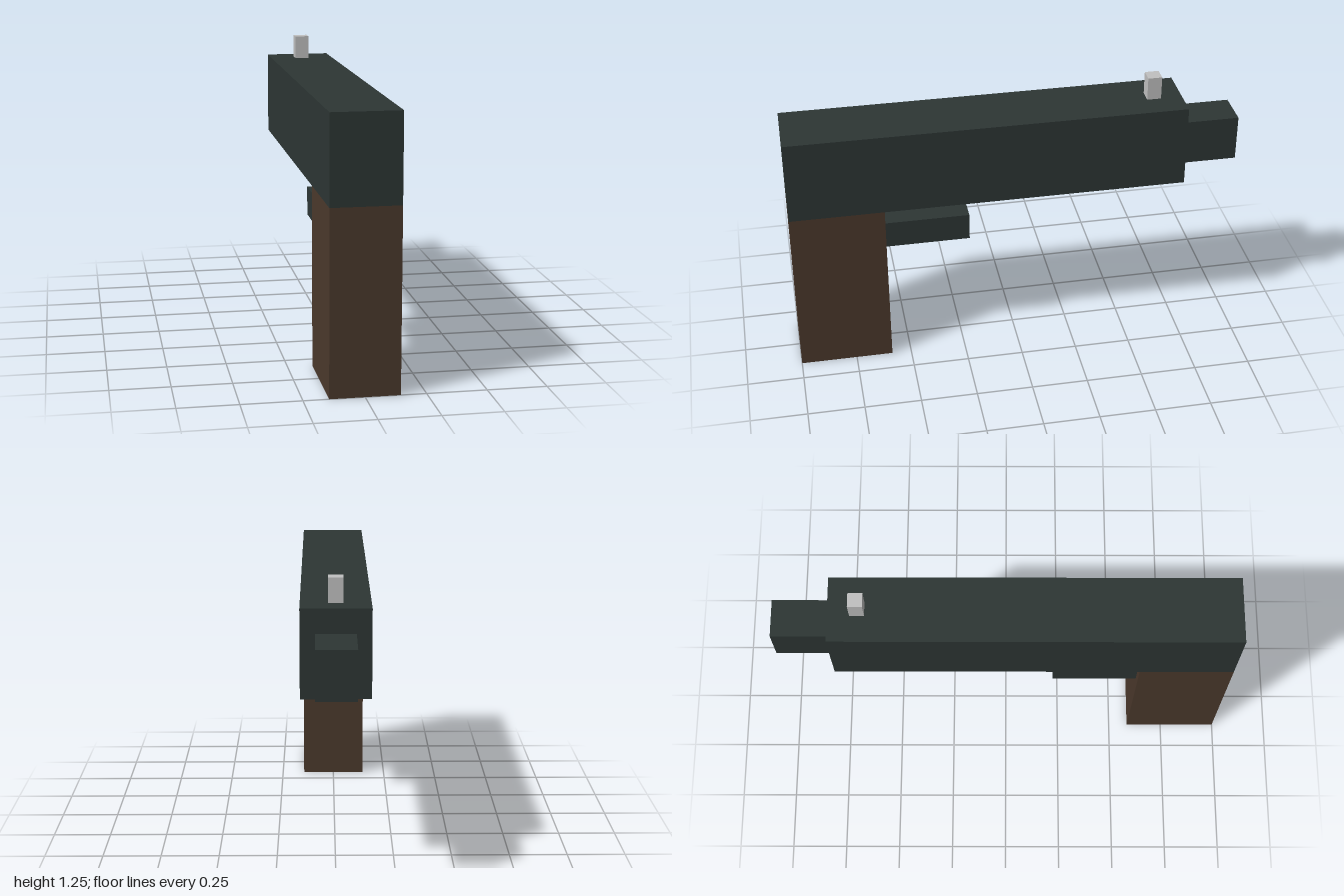
import * as THREE from 'three';

export function createModel() {
  const model = new THREE.Group();
  model.name = 'blockPistol';

  const material = (name, color) => {
    const m = new THREE.MeshStandardMaterial({ color });
    m.name = name;
    return m;
  };
  const gunmetal = material('darkGunmetal', 0x2d3634);
  const wood = material('brownGrip', 0x4b392c);
  const silver = material('silverSight', 0xc0c0c0);

  // Box centred on x, given its width and its y and z ranges
  const block = (name, mat, width, [y0, y1], [z0, z1]) => {
    const mesh = new THREE.Mesh(new THREE.BoxGeometry(width, y1 - y0, z1 - z0), mat);
    mesh.position.set(0, (y0 + y1) / 2, (z0 + z1) / 2);
    mesh.name = name;
    model.add(mesh);
  };

  block('body', gunmetal, 0.29, [0.775, 1.148], [-0.75, 1]);
  block('muzzle', gunmetal, 0.165, [0.838, 1.044], [-1, -0.75]);
  block('grip', wood, 0.29, [0, 0.775], [0.587, 1]);
  block('trigger', gunmetal, 0.21, [0.567, 0.69], [0.212, 0.587]);
  block('frontSight', silver, 0.062, [1.148, 1.252], [-0.655, -0.593]);

  return model;
}
